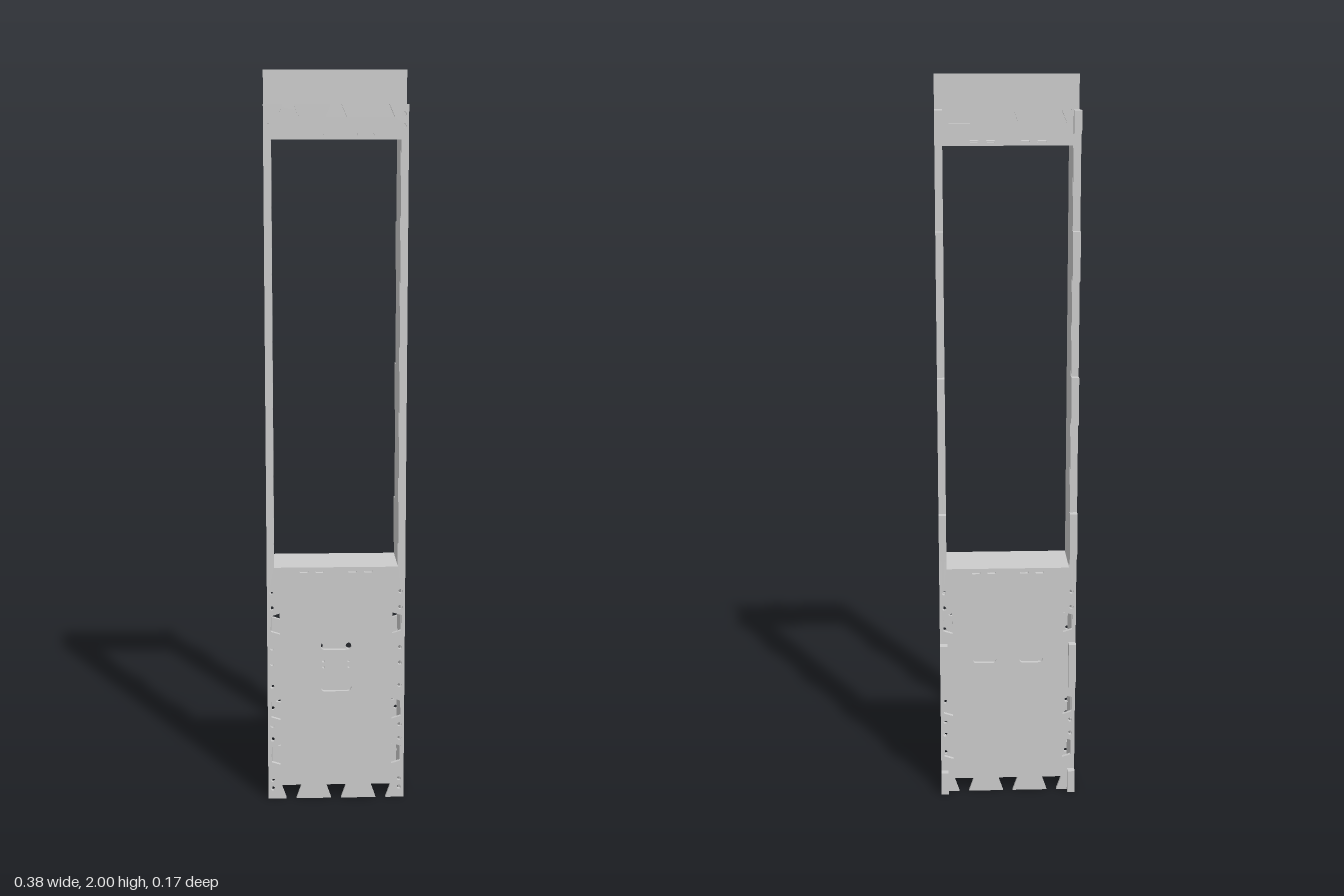
import * as THREE from 'three';

const W = 0.19, T = 0.011;            // half width, sheet thickness
const TOP = 1.91, WIN0 = 0.67, WIN1 = 1.82, WX = 0.17;
const ZF = 0.086, ZB = -0.065;        // outer faces of the front and back panels
const TABS = [[0, 0.065], [0.32, 0.45], [0.7, 0.83], [1.08, 1.21], [1.47, 1.6], [1.85, TOP]];
const mat = new THREE.MeshStandardMaterial({ color: 0xcccccc });

const poly = (pts, Type = THREE.Path) => new Type(pts.map(p => new THREE.Vector2(p[0], p[1])));
const rect = (x, y, w, h) => poly([[x - w / 2, y - h / 2], [x + w / 2, y - h / 2], [x + w / 2, y + h / 2], [x - w / 2, y + h / 2]]);
function round(x, y, r) {
  const p = new THREE.Path();
  p.absarc(x, y, r, 0, Math.PI * 2);
  return p;
}
function slot(x, y, w, h) {
  const p = new THREE.Path(), r = h / 2, c = w / 2 - r;
  p.absarc(x + c, y, r, -Math.PI / 2, Math.PI / 2);
  p.absarc(x - c, y, r, Math.PI / 2, Math.PI * 1.5);
  p.closePath();
  return p;
}
const extrude = (shape, depth) =>
  new THREE.ExtrudeGeometry(shape, { depth, bevelEnabled: false, curveSegments: 6 });

function add(group, name, geometry, x = 0, y = 0, z = 0) {
  const m = new THREE.Mesh(geometry, mat);
  m.name = name;
  m.position.set(x, y, z);
  group.add(m);
  return m;
}

// Front or back sheet: dovetail sockets at both ends, large window, bolt holes
function panelShape(isFront) {
  const pts = [[-W, 0]];
  const sockets = [-0.125, 0, 0.125];
  for (const c of sockets) pts.push([c - 0.014, 0], [c - 0.028, 0.04], [c + 0.028, 0.04], [c + 0.014, 0]);
  pts.push([W, 0], [W, TOP]);
  for (const c of [...sockets].reverse())
    pts.push([c + 0.014, TOP], [c + 0.028, TOP - 0.033], [c - 0.028, TOP - 0.033], [c - 0.014, TOP]);
  pts.push([-W, TOP]);
  const s = poly(pts, THREE.Shape);
  s.holes.push(rect(0, (WIN0 + WIN1) / 2, WX * 2, WIN1 - WIN0));
  for (const k of [-1, 1]) {
    // side sockets
    for (const y of [0.51, 0.262, 0.13])
      s.holes.push(poly([[k * 0.18, y - 0.022], [k * 0.155, y - 0.03], [k * 0.155, y + 0.03], [k * 0.18, y + 0.022]]));
    // bolt holes along the edges
    for (const y of [0.03, 0.055, 0.175, 0.215, 0.33, 0.395, 0.44, 0.555, 0.6, 1.855, 1.885])
      s.holes.push(round(k * 0.177, y, 0.006));
    // shelf tab slots and bolt holes
    for (const x of [0.045, 0.088]) for (const y of [0.658, 1.831])
      s.holes.push(slot(k * x, y, 0.024, 0.007));
    if (isFront) for (const y of [0.385, 0.402]) s.holes.push(round(k * 0.035, y, 0.004));
    // hand slots
    s.holes.push(isFront ? slot(0, 0.385 + k * 0.06, 0.085, 0.022) : slot(k * 0.065, 0.4, 0.065, 0.018));
  }
  return s;
}

// Side sheet drawn in (z, y), with tabs on the back edge, from height y0 upwards
function sideShape(y0, withHoles) {
  const f = ZF - T, b = ZB + T, pts = [];
  if (y0 === 0) {
    pts.push([f, 0]);
    for (const c of [0.042, -0.022]) pts.push([c + 0.012, 0], [c + 0.014, 0.02], [c - 0.014, 0.02], [c - 0.012, 0]);
  } else pts.push([f, y0], [b, y0]);
  for (const [lo, hi] of TABS) {
    if (lo < y0) continue;
    pts.push([b, lo], [-ZF, lo], [-ZF, hi], [b, hi]);
  }
  for (const c of [-0.022, 0.042]) pts.push([c - 0.012, TOP], [c - 0.012, TOP - 0.014], [c + 0.012, TOP - 0.014], [c + 0.012, TOP]);
  pts.push([f, TOP]);
  const clean = pts.filter((p, i) => !i || p[0] !== pts[i - 1][0] || p[1] !== pts[i - 1][1]);
  const s = poly(clean, THREE.Shape);
  s.holes.push(rect(0.01, 1.864, 0.038, 0.028));
  if (withHoles) {
    for (const z of [0.066, -0.046])
      for (const y of [0.05, 0.09, 0.17, 0.215, 0.33, 0.385, 0.45, 0.56, 0.6, 0.662, 1.827])
        s.holes.push(round(z, y, 0.005));
    for (const z of [0.022, -0.004]) for (const y of [0.385, 0.4, 0.662, 1.827]) s.holes.push(round(z, y, 0.004));
  }
  return s;
}

export function createModel() {
  const g = new THREE.Group();
  g.name = 'slottedSheetFrame';

  add(g, 'frontPanel', extrude(panelShape(true), T), 0, 0, ZF - T);
  add(g, 'backPanel', extrude(panelShape(false), T), 0, 0, ZB);

  // Sides: outer skin for the full height, inner lining beside the window
  const skin = extrude(sideShape(0, true), T).rotateY(-Math.PI / 2);
  const lining = extrude(sideShape(0.655, false), 0.0095).rotateY(-Math.PI / 2);
  add(g, 'leftSide', skin, W);
  add(g, 'rightSide', skin, -W + T);
  add(g, 'leftLining', lining, W - T);
  add(g, 'rightLining', lining, -W + T + 0.0095);

  // Thicker roots of the two lower back tabs
  for (const k of [-1, 1]) for (const [lo, hi] of TABS.slice(0, 2))
    add(g, 'lowerTab', new THREE.BoxGeometry(0.0095, hi - lo, 0.03), k * (W - T - 0.00475), (lo + hi) / 2, -ZF + 0.015);

  // Shelves closing the window at the bottom and the top
  const depth = ZF - ZB - 2 * T;
  for (const [name, y] of [['lowerShelf', WIN0 - T / 2], ['upperShelf', WIN1 + T / 2]])
    add(g, name, new THREE.BoxGeometry(WX * 2, T, depth), 0, y, (ZF + ZB) / 2);

  // Upright board standing in the top tray; its lower part fits between the sides
  const board = poly([[-WX, 1.831], [WX, 1.831], [WX, TOP], [W, TOP], [W, 2], [-W, 2], [-W, TOP], [-WX, TOP]], THREE.Shape);
  add(g, 'topBoard', extrude(board, 0.01), 0, 0, 0.003);

  return g;
}
